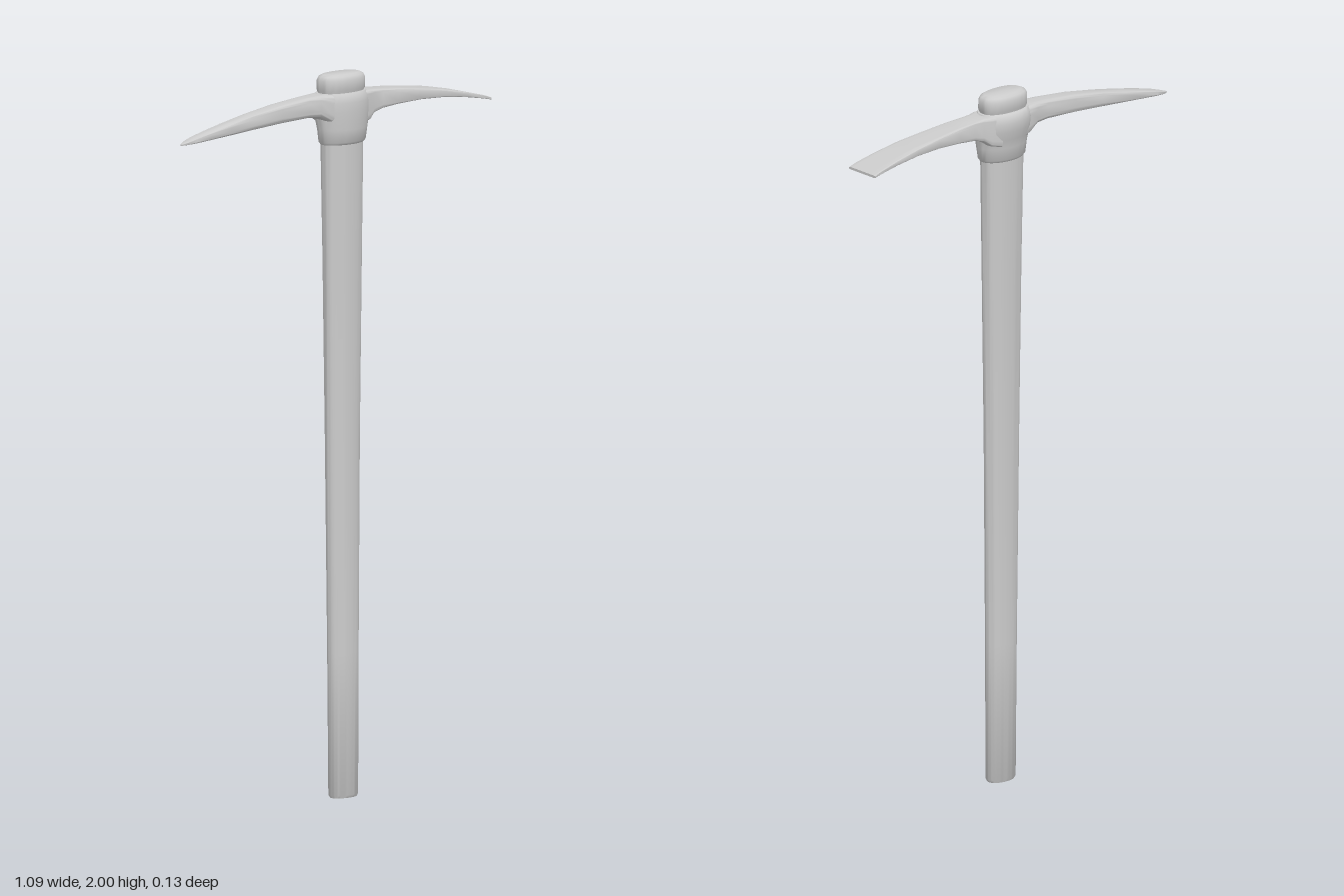
import * as THREE from 'three';
import { toCreasedNormals } from 'three/addons/utils/BufferGeometryUtils.js';

const material = new THREE.MeshStandardMaterial({ color: 0xcccccc });

// Lofts superellipse rings; each section is [t, uMin, uMax, vMin, vMax].
// place(u, v, t) maps to x, y, z with u x v pointing along t.
// power 2 gives an ellipse, larger values a rounded box.
function loft(name, sections, place, power = 2, sides = 40, crease = 0.7) {
  const pos = [], index = [], count = sections.length;
  const bend = c => Math.sign(c) * Math.pow(Math.abs(c), 2 / power);
  for (const [t, u0, u1, v0, v1] of sections) {
    for (let j = 0; j < sides; j++) {
      const a = ((j + 0.5) / sides) * Math.PI * 2;
      const u = (u0 + u1) / 2 + ((u1 - u0) / 2) * bend(Math.cos(a));
      const v = (v0 + v1) / 2 + ((v1 - v0) / 2) * bend(Math.sin(a));
      pos.push(...place(u, v, t));
    }
  }
  for (let i = 0; i < count - 1; i++) {
    for (let j = 0; j < sides; j++) {
      const k = (j + 1) % sides;
      const a = i * sides + j, b = i * sides + k;
      index.push(a, b, b + sides, a, b + sides, a + sides);
    }
  }
  // end caps
  const addCap = (row, flip) => {
    const [t, u0, u1, v0, v1] = sections[row];
    const centre = pos.length / 3;
    pos.push(...place((u0 + u1) / 2, (v0 + v1) / 2, t));
    for (let j = 0; j < sides; j++) {
      const a = row * sides + j, b = row * sides + ((j + 1) % sides);
      index.push(centre, flip ? b : a, flip ? a : b);
    }
  };
  addCap(0, true);
  addCap(count - 1, false);
  const geometry = new THREE.BufferGeometry();
  geometry.setAttribute('position', new THREE.Float32BufferAttribute(pos, 3));
  geometry.setIndex(index);
  const mesh = new THREE.Mesh(toCreasedNormals(geometry, crease), material);
  mesh.name = name;
  return mesh;
}

const upright = (z, x, y) => [x, y, z];
const sideways = (y, z, x) => [x, y, z];

export function createModel() {
  const group = new THREE.Group();
  group.name = 'pickaxe';

  // oval shaft, leaning slightly and widening upward: [y, z range, x range]
  group.add(loft('handle', [
    [0, -0.005, 0.047, -0.017, 0.068],
    [0.008, -0.009, 0.051, -0.021, 0.072],
    [0.4, -0.013, 0.047, -0.022, 0.078],
    [1.0, -0.021, 0.042, -0.025, 0.089],
    [1.5, -0.03, 0.041, -0.028, 0.1],
    [1.83, -0.038, 0.042, -0.031, 0.107],
  ], upright, 2.2));

  // rounded end of the shaft standing above the head
  group.add(loft('handleTop', [
    [1.93, -0.044, 0.036, -0.03, 0.11],
    [1.95, -0.046, 0.037, -0.033, 0.113],
    [1.958, -0.05, 0.041, -0.036, 0.117],
    [1.985, -0.049, 0.04, -0.036, 0.117],
    [1.995, -0.045, 0.036, -0.031, 0.112],
    [2.0, -0.036, 0.028, -0.02, 0.101],
  ], upright, 2.3, 40, 0.9));

  // socket that wraps the shaft
  group.add(loft('collar', [
    [1.808, -0.04, 0.044, -0.032, 0.109],
    [1.815, -0.046, 0.05, -0.037, 0.115],
    [1.85, -0.05, 0.053, -0.041, 0.121],
    [1.875, -0.056, 0.055, -0.045, 0.126],
    [1.9, -0.064, 0.056, -0.049, 0.131],
    [1.925, -0.066, 0.056, -0.049, 0.13],
    [1.942, -0.063, 0.053, -0.045, 0.126],
    [1.95, -0.056, 0.047, -0.04, 0.12],
  ], upright, 2, 40, 0.9));

  // pointed arm: [x, y range, z range]
  group.add(loft('pickArm', [
    [-0.545, 1.863, 1.867, -0.02, -0.015],
    [-0.53, 1.864, 1.872, -0.028, -0.008],
    [-0.5, 1.866, 1.881, -0.033, 0],
    [-0.45, 1.87, 1.893, -0.034, 0.006],
    [-0.38, 1.875, 1.908, -0.034, 0.01],
    [-0.3, 1.881, 1.923, -0.034, 0.014],
    [-0.2, 1.888, 1.938, -0.034, 0.02],
    [-0.1, 1.892, 1.947, -0.035, 0.024],
    [-0.06, 1.889, 1.949, -0.038, 0.027],
    [-0.03, 1.872, 1.95, -0.046, 0.037],
    [0, 1.86, 1.95, -0.05, 0.042],
  ], sideways, 5, 32, 0.6));

  // flat flaring arm with a wide cutting edge
  group.add(loft('adzeArm', [
    [0.08, 1.855, 1.948, -0.05, 0.042],
    [0.115, 1.865, 1.948, -0.046, 0.037],
    [0.135, 1.881, 1.946, -0.036, 0.031],
    [0.165, 1.89, 1.944, -0.035, 0.032],
    [0.22, 1.896, 1.94, -0.036, 0.036],
    [0.3, 1.9, 1.931, -0.038, 0.042],
    [0.38, 1.898, 1.92, -0.041, 0.049],
    [0.46, 1.889, 1.904, -0.043, 0.055],
    [0.52, 1.879, 1.889, -0.045, 0.06],
    [0.543, 1.874, 1.881, -0.046, 0.061],
  ], sideways, 9, 32, 0.6));

  return group;
}
